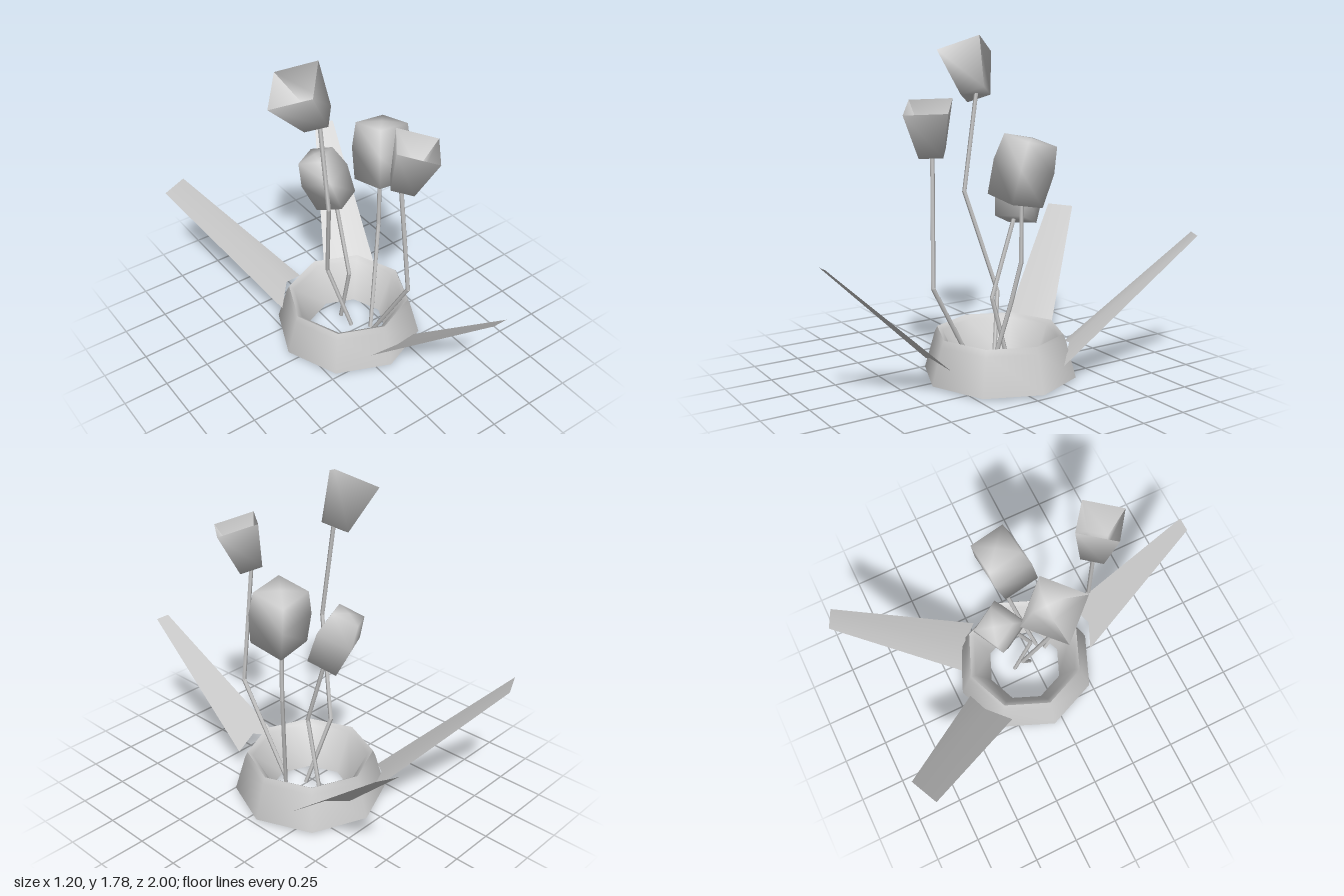
import * as THREE from 'three';
import { toCreasedNormals } from 'three/addons/utils/BufferGeometryUtils.js';

const material = new THREE.MeshStandardMaterial({ color: 0xcccccc, side: THREE.DoubleSide });
const UP = new THREE.Vector3(0, 1, 0);
const V = (p) => new THREE.Vector3(...p);

// Faceted turned shape from [radius, height] pairs
function turned(profile, sides, crease, phase = 0) {
  const points = profile.map(([r, y]) => new THREE.Vector2(r, y));
  return toCreasedNormals(new THREE.LatheGeometry(points, sides, phase), crease);
}

function addMesh(parent, name, geometry) {
  const mesh = new THREE.Mesh(geometry, material);
  mesh.name = name;
  parent.add(mesh);
  return mesh;
}

// Thin stem made of straight rods between bend points
function addStem(parent, name, points) {
  const stem = new THREE.Group();
  stem.name = name;
  for (let i = 0; i < points.length - 1; i++) {
    const a = V(points[i]), b = V(points[i + 1]);
    const axis = b.clone().sub(a);
    const rod = addMesh(stem, 'stemSegment', new THREE.CylinderGeometry(0.012, 0.012, axis.length() + 0.004, 5));
    rod.position.copy(a).add(b).multiplyScalar(0.5);
    rod.quaternion.setFromUnitVectors(UP, axis.normalize());
  }
  parent.add(stem);
}

// Four-sided flower head placed along the line from base to top
function addHead(parent, name, base, top, turn, profile) {
  const a = V(base), axis = V(top).sub(a);
  const height = axis.length();
  const scaled = profile.map(([r, t]) => [r, t * height]);
  const head = addMesh(parent, name, turned(scaled, 4, 1.66, THREE.MathUtils.degToRad(turn)));
  head.position.copy(a);
  head.quaternion.setFromUnitVectors(UP, axis.normalize());
}

// Flat tapering leaf with a notched base: tipA, tipB, baseB, notch, baseA
function addLeaf(parent, name, corners) {
  const geometry = new THREE.BufferGeometry();
  geometry.setAttribute('position', new THREE.Float32BufferAttribute(corners.flat(), 3));
  geometry.setIndex([3, 0, 1, 3, 1, 2, 3, 4, 0]);
  geometry.computeVertexNormals();
  addMesh(parent, name, geometry);
}

// Open cup: outer wall, rim, sloping inner wall and floor
const cup = (bottom, rim) => [[0, 0], [bottom, 0], [rim, 1], [0.075, 0.35], [0, 0.35]];
// Closed bud: slightly bulging with a shallow cap
const bud = (bottom, middle, top) => [[0, 0], [bottom, 0], [middle, 0.55], [top, 0.97], [0, 1]];

export function createModel() {
  const model = new THREE.Group();
  model.name = 'flowerPlanter';

  // Eight-sided ring pot, open through the middle
  const pot = addMesh(model, 'ringPot', turned(
    [[0.22, 0], [0.41, 0.013], [0.355, 0.21], [0.34, 0.245], [0.31, 0.225], [0.22, 0]], 8, 1.3));
  pot.position.set(0.072, 0, -0.055);

  // Stems, from head to base
  addStem(model, 'tallStem', [[-0.12, 1.49, -0.035], [-0.12, 0.97, 0.04], [-0.03, 0.43, -0.11], [0.07, 0.03, -0.02]]);
  addStem(model, 'sideStem', [[0.275, 0.97, -0.05], [0.275, 0.65, -0.05], [0.235, 0.43, -0.015], [0.15, 0.03, 0.06]]);
  addStem(model, 'shortStem', [[0.06, 0.84, -0.155], [0.055, 0.42, -0.02], [0.07, 0.03, -0.12]]);
  addStem(model, 'frontStem', [[0.09, 1.21, 0.355], [0.14, 0.55, 0.385], [0.11, 0.03, 0.1]]);

  // Flower heads
  addHead(model, 'tallFlower', [-0.127, 1.475, -0.035], [-0.255, 1.7, -0.045], 0, cup(0.092, 0.168));
  addHead(model, 'frontFlower', [0.095, 1.215, 0.357], [0.142, 1.45, 0.405], 8, cup(0.085, 0.153));
  addHead(model, 'sideBud', [0.262, 0.97, -0.02], [0.305, 1.285, -0.085], 50, bud(0.142, 0.155, 0.135));
  addHead(model, 'shortBud', [0.067, 0.83, -0.16], [-0.005, 1.11, -0.25], 72, bud(0.115, 0.135, 0.1));

  // Leaves
  addLeaf(model, 'frontLeaf', [
    [0.16, 0.745, 1], [0.24, 0.745, 1], [0.235, 0.14, 0.34], [0.09, 0.175, 0.38], [-0.045, 0.125, 0.325]]);
  addLeaf(model, 'backLeftLeaf', [
    [0.5, 0.745, -1], [0.6, 0.745, -0.95], [0.41, 0.11, -0.23], [0.28, 0.18, -0.36], [0.16, 0.145, -0.42]]);
  addLeaf(model, 'backRightLeaf', [
    [-0.6, 0.745, -0.865], [-0.45, 0.745, -0.935], [0, 0.14, -0.44], [-0.12, 0.18, -0.4], [-0.23, 0.12, -0.28]]);

  return model;
}
